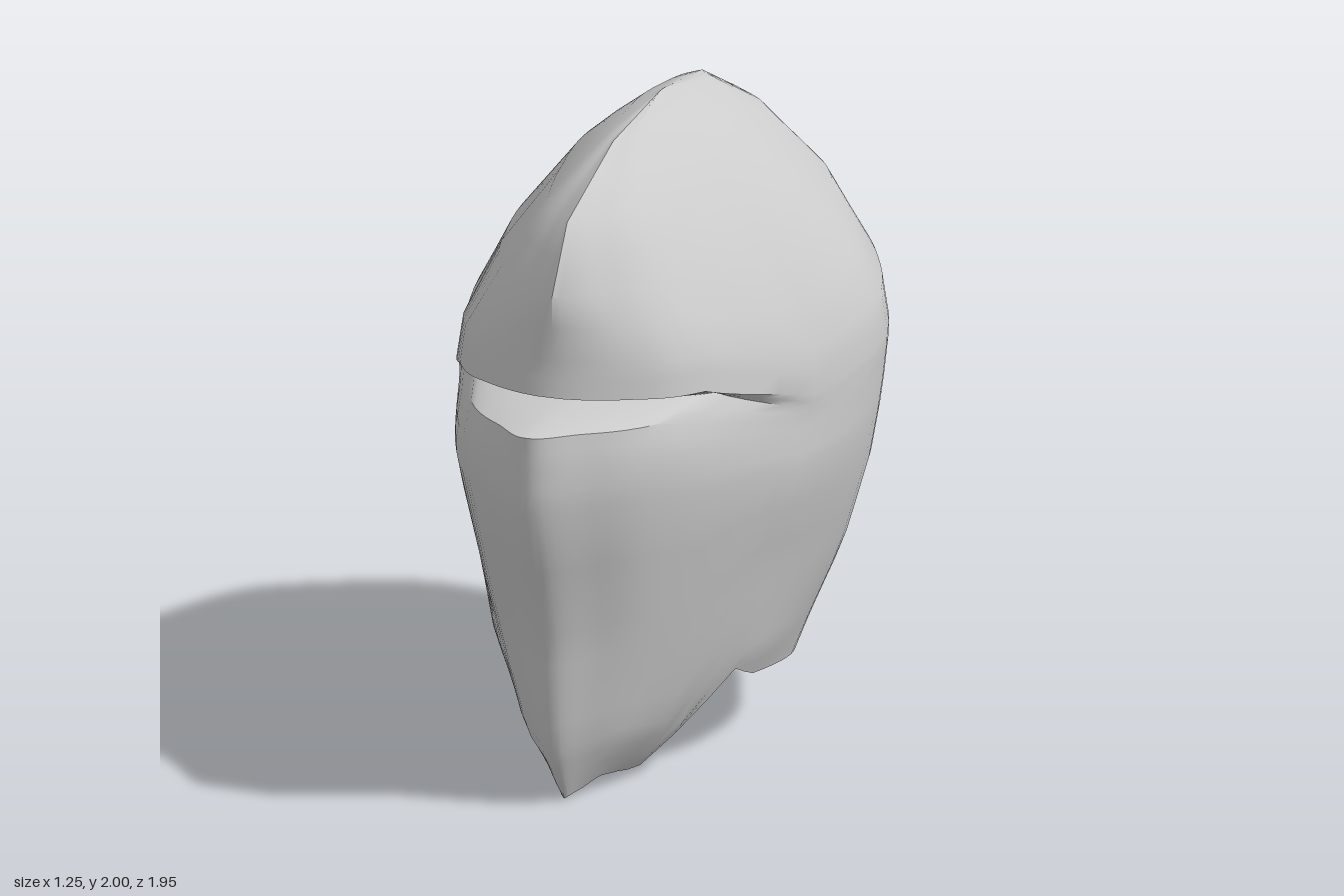
import * as THREE from 'three';
import { toCreasedNormals } from 'three/addons/utils/BufferGeometryUtils.js';

// Horizontal sections: height, front z, back z, then half-widths at
// 95 %, 85 %, 60 % and 38 % of the way from back to front
const SECTIONS = [
  [0, 0.68, -0.66, 0.03, 0.07, 0.2, 0.38],
  [0.06, 0.72, -0.68, 0.05, 0.11, 0.26, 0.41],
  [0.18, 0.78, -0.71, 0.08, 0.18, 0.34, 0.43],
  [0.35, 0.81, -0.79, 0.1, 0.22, 0.42, 0.475],
  [0.57, 0.84, -0.86, 0.12, 0.27, 0.47, 0.54],
  [1.0, 0.98, -0.95, 0.14, 0.31, 0.54, 0.61],
  [1.14, 0.98, -0.965, 0.14, 0.32, 0.55, 0.617],
  [1.24, 0.98, -0.97, 0.12, 0.3, 0.555, 0.62], // lip of the face guard
  [1.275, 0.66, -0.97, 0.22, 0.38, 0.56, 0.622], // bottom of the eye slit
  [1.31, 0.8, -0.97, 0.24, 0.39, 0.564, 0.622], // brow
  [1.42, 0.78, -0.95, 0.24, 0.38, 0.55, 0.6],
  [1.62, 0.78, -0.87, 0.12, 0.26, 0.42, 0.46],
  [1.82, 0.66, -0.67, 0.05, 0.14, 0.23, 0.265],
  [1.96, 0.3, -0.4, 0.01, 0.04, 0.07, 0.08],
  [2.0, -0.06, -0.1, 0, 0, 0, 0],
];
const STATIONS = [0, 0.08, 0.2, 0.38, 0.6, 0.85, 0.95, 1];
const SPANS = STATIONS.length - 1;
const SLIT = 1.24;

// Lower rim height and slit droop, from back (0) to front (1)
const RIM = [[0, 0.13], [0.3, 0.22], [0.57, 0.26], [0.645, 0.315], [0.77, 0.02], [0.89, 0.05], [1, 0]];
const DROOP = [[0, 0], [0.38, 0.1], [0.6, 0.16], [0.72, 0.09], [0.85, 0.02], [1, 0]];

const { clamp, lerp, mapLinear, smoothstep } = THREE.MathUtils;

// Linear lookup of a row in a table keyed by its first column
function lookup(table, key) {
  let i = 1;
  while (i < table.length - 1 && table[i][0] < key) i++;
  const [a, b] = [table[i - 1], table[i]];
  const k = clamp((key - a[0]) / (b[0] - a[0]), 0, 1);
  return a.map((v, n) => lerp(v, b[n], k));
}

// Half outline of a section as a smooth curve from back to front
function outline(q) {
  const [, f, b, n, m, a, w] = lookup(SECTIONS, q);
  // only the face follows the lip and slit, the sides run straight past them
  const base = q > 1 && q < 1.42 ? mapLinear(q, 1, 1.42, 0.98, 0.78) : f;
  const nape = Math.max(0, 1 - q / 0.5); // the back ridge flattens at the neck
  const widths = [0, 0.48 * w, (0.78 + 0.09 * nape) * w, w, a, m, n, 0];
  const points = STATIONS.map((t, i) => {
    const s = i === 1 ? t * (1 - nape) : t;
    return new THREE.Vector2(widths[i], b + (base - b) * s + (f - base) * smoothstep(t, 0.57, 1));
  });
  // point past the centre line: a rounded face below, a sharp crest above
  const face = points[SPANS - 1], tip = points[SPANS];
  const sharp = smoothstep(q, 1.4, 1.75);
  points.push(new THREE.Vector2(-n, tip.y + (tip.y - face.y) * (2 * sharp - 1)));
  return new THREE.SplineCurve(points);
}

function shellPoint(u, side, level) {
  const i = Math.min(Math.floor(u * SPANS), SPANS - 1);
  const t = lerp(STATIONS[i], STATIONS[i + 1], u * SPANS - i);

  // squeeze the levels under the slit so the lowest one follows the rim
  let rim = lookup(RIM, t)[1];
  if (side < 0 && t < 0.45) rim -= 0.065 * Math.sin(Math.PI * t / 0.45);
  const q = level < SLIT ? rim + level * (SLIT - rim) / SLIT : level;
  const p = outline(q).getPoint(u * SPANS / (SPANS + 1));

  // the slit droops toward its ends
  const y = q - lookup(DROOP, t)[1] * Math.max(0, 1 - Math.abs(q - 1.275) / 0.6);

  // slight twist, with the neck leaning to one side
  const neck = Math.max(0, 1 - y / 0.8) * (1 - smoothstep(p.y, -0.5, 0.5));
  return [side * Math.max(0, p.x) - 0.01 - 0.045 * p.y - 0.12 * neck, y, p.y];
}

// One sheet from the back ridge around the face and back again
function shellGeometry() {
  const half = SPANS * 6;
  const levels = [];
  SECTIONS.forEach(([y], i) => {
    if (i) levels.push((SECTIONS[i - 1][0] + y) / 2);
    levels.push(y);
  });
  const columns = 2 * half + 1;
  const pos = [], index = [];
  levels.forEach((level, j) => {
    for (let i = 0; i < columns; i++) {
      const side = i < half ? -1 : 1;
      pos.push(...shellPoint(1 - Math.abs(i - half) / half, side, level));
      if (j && i) {
        const d = j * columns + i, c = d - 1, b = d - columns, a = b - 1;
        index.push(a, b, d, a, d, c);
      }
    }
  });
  const geometry = new THREE.BufferGeometry();
  geometry.setAttribute('position', new THREE.Float32BufferAttribute(pos, 3));
  geometry.setIndex(index);
  return toCreasedNormals(geometry, 0.7);
}

export function createModel() {
  const model = new THREE.Group();
  model.name = 'helmet';
  const material = new THREE.MeshStandardMaterial({ color: 0xcccccc, side: THREE.DoubleSide });
  const shell = new THREE.Mesh(shellGeometry(), material);
  shell.name = 'helmetShell';
  model.add(shell);
  return model;
}
